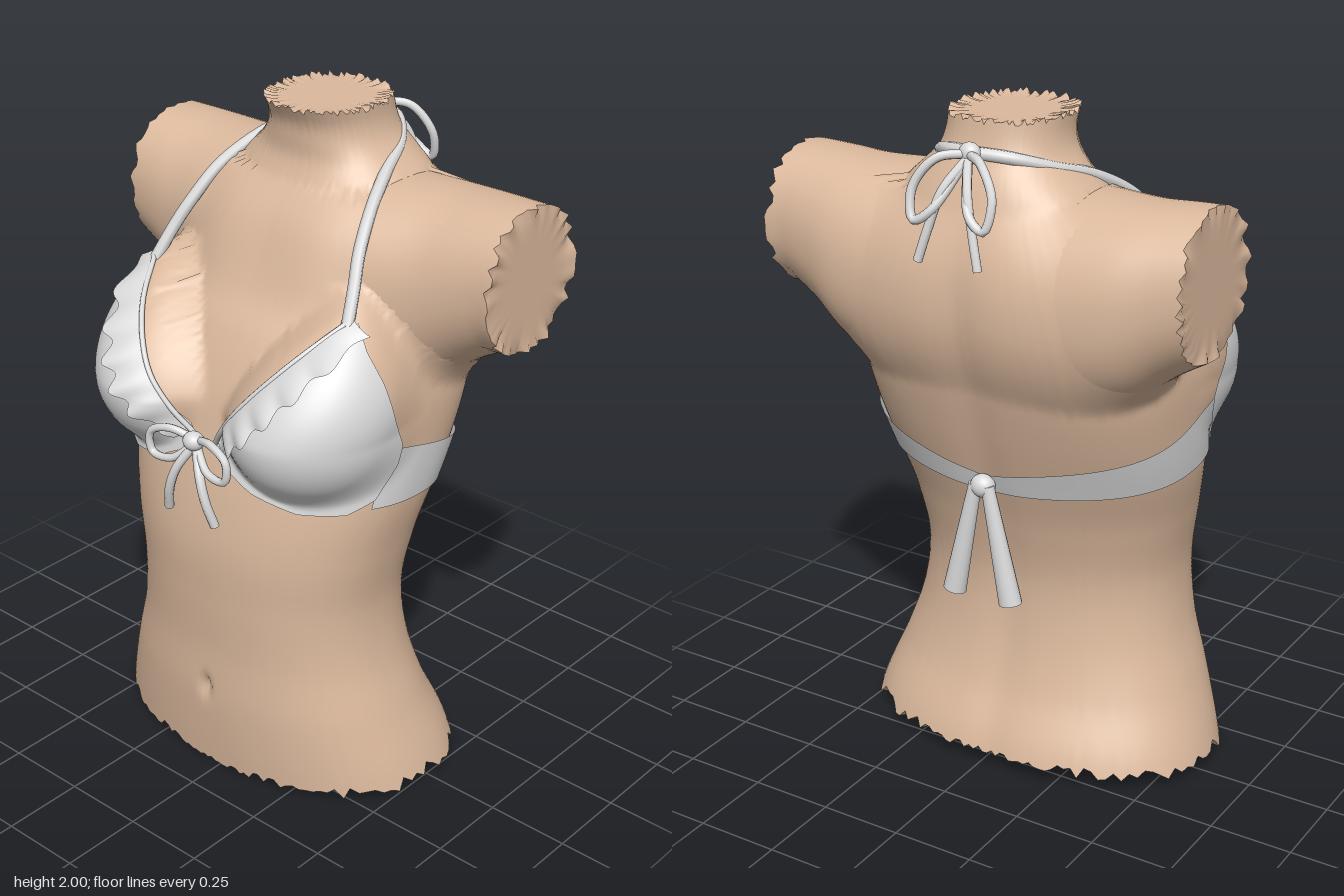
import * as THREE from 'three';

const skin = new THREE.MeshStandardMaterial({ color: 0xdbb99d, side: THREE.DoubleSide });
skin.name = 'skin';
const cloth = new THREE.MeshStandardMaterial({ color: 0xdadada, side: THREE.DoubleSide });
cloth.name = 'cloth';

const { smoothstep } = THREE.MathUtils;
// Deterministic noise for the broken edges
const noise = (i) => { const s = Math.sin(i * 91.7 + 3.1) * 4375.5; return s - Math.floor(s); };
// Larger of two values with a rounded transition of width k
const smoothMax = (a, b, k) => Math.max(a, b) + Math.max(0, k - Math.abs(a - b)) ** 2 / (4 * k);

// Smooth interpolation of table rows [key, a, b, ...]
function table(rows) {
  const size = rows[0].length - 1;
  const spline = new THREE.CubicInterpolant(rows.map((r) => r[0]), rows.flatMap((r) => r.slice(1)), size, new Float32Array(size));
  const lo = rows[0][0], hi = rows[rows.length - 1][0];
  return (t) => Array.from(spline.evaluate(Math.min(hi, Math.max(lo, t))));
}

// Surface through fn(i, j) -> [x, y, z]; optionally closed around i
function grid(nu, nv, fn, closed = false) {
  const cols = closed ? nu : nu + 1, pos = [], index = [];
  for (let j = 0; j <= nv; j++) for (let i = 0; i < cols; i++) pos.push(...fn(i, j));
  for (let j = 0; j < nv; j++) for (let i = 0; i < nu; i++) {
    const a = j * cols + i, b = j * cols + (i + 1) % cols, c = b + cols, d = a + cols;
    index.push(a, b, c, a, c, d);
  }
  const g = new THREE.BufferGeometry();
  g.setAttribute('position', new THREE.Float32BufferAttribute(pos, 3));
  g.setIndex(index);
  g.computeVertexNormals();
  return g;
}

// Shoulders and upper arms: distance from middle, centre y, radius y, centre z, radius z
const armProfile = table([
  [0, 1.5, 0.3, -0.165, 0.285], [0.15, 1.5, 0.305, -0.165, 0.3], [0.3, 1.505, 0.3, -0.18, 0.275],
  [0.45, 1.535, 0.27, -0.195, 0.24], [0.55, 1.575, 0.235, -0.19, 0.215], [0.645, 1.605, 0.208, -0.185, 0.197],
]);
function shoulder(i, t) {
  const w = (i / 64) * Math.PI * 2, end = t > 0 ? 0.67 + 0.03 * noise(i) : 0.62 + 0.025 * noise(i + 100);
  const x = t * end, [cy, ry, cz, rz] = armProfile(Math.abs(x));
  const round = (v) => Math.sign(v) * Math.abs(v) ** 0.92;
  return [x, cy + ry * round(Math.cos(w)), cz + rz * round(Math.sin(w))];
}
// Distance along a level ray to the shoulder surface
function shoulderHit(s, c, y, zc) {
  if (y < 1.2 || y > 1.775) return 0;
  let lo = 0, hi = Math.min(0.7, 0.56 / Math.max(0.01, Math.abs(s)));
  for (let i = 0; i < 18; i++) {
    const m = (lo + hi) / 2, [cy, ry, cz, rz] = armProfile(Math.abs(s * m));
    if (Math.abs((y - cy) / ry) ** 2.17 + Math.abs((zc + c * m - cz) / rz) ** 2.17 < 1) lo = m; else hi = m;
  }
  return Math.max(0, lo - 0.007);
}

// Torso: height, half width, front z, back z
const profile = table([
  [0, 0.575, 0.38, -0.35], [0.1, 0.545, 0.39, -0.322], [0.25, 0.49, 0.4, -0.258], [0.42, 0.435, 0.4, -0.22],
  [0.6, 0.415, 0.41, -0.215], [0.78, 0.44, 0.415, -0.255], [0.94, 0.47, 0.395, -0.31], [1.1, 0.483, 0.36, -0.365],
  [1.25, 0.483, 0.32, -0.41], [1.4, 0.455, 0.25, -0.445], [1.5, 0.42, 0.18, -0.455], [1.6, 0.37, 0.12, -0.45],
  [1.7, 0.33, 0.07, -0.43], [1.79, 0.29, 0.02, -0.4], [1.84, 0.235, 0, -0.38], [1.89, 0.19, 0, -0.355],
  [1.94, 0.172, 0.005, -0.34], [2, 0.17, 0.035, -0.33],
]);

// Point on the body at angle u (0 = front, towards +x) and height y, pushed out by off
function body(u, y, off = 0) {
  const [hw, f, b] = profile(y);
  const s = Math.sin(u), c = Math.cos(u), zc = (f + b) / 2, d = (f - b) / 2;
  // Broader, flatter upper back
  const n = 2.25 + (c < 0 ? 0.6 * smoothstep(y, 0.8, 1.3) * (1 - smoothstep(y, 1.6, 1.8)) : 0);
  let r = (Math.abs(s / hw) ** n + Math.abs(c / d) ** n) ** (-1 / n);
  r = smoothMax(r, shoulderHit(s, c, y, zc), 0.1);
  // Spine groove and navel
  if (c < 0) r -= 0.01 * Math.exp(-((s * r / 0.07) ** 2)) * (1 - 0.7 * smoothstep(y, 1.5, 1.8));
  else r -= 0.022 * Math.exp(-((s * r / 0.018) ** 2) - ((y - 0.285) / 0.035) ** 2);
  // Bust: far hit of the ray with an ellipse, blended into the torso
  const t = (y - 1.2) / (y > 1.2 ? 0.36 : 0.235);
  if (Math.abs(t) < 1 && c > -0.3) {
    const k = y > 1.2 ? Math.cos(t * Math.PI / 2) ** 0.8 : Math.sqrt(1 - t * t);
    const a = 0.237 * k, e = 0.275 * k, rise = 0.22 * Math.max(0, y - 1.2);
    const cx = 0.25 + rise, cz = 0.18 - rise - zc, sx = Math.abs(s);
    const A = (sx / a) ** 2 + (c / e) ** 2, B = sx * cx / a ** 2 + c * cz / e ** 2;
    const D = B * B - A * ((cx / a) ** 2 + (cz / e) ** 2 - 1);
    r = smoothMax(r, (B + Math.sign(D) * Math.sqrt(Math.abs(D))) / A, 0.06);
  }
  r += off;
  return [s * r, y, zc + c * r];
}

// Angle on the front of the body that reaches a given x
function angleAt(x, y) {
  let lo = 0, hi = 1.45;
  for (let i = 0; i < 20; i++) {
    const m = (lo + hi) / 2;
    if (body(m, y)[0] < x) lo = m; else hi = m;
  }
  return lo;
}

// Cup outline: height, inner x, outer x, outer z
const cupRows = [
  [0.965, 0.3, 0.42, 0.25], [1.0, 0.17, 0.47, 0.18], [1.05, 0.08, 0.49, 0.15], [1.1, 0.03, 0.5, 0.12],
  [1.16, 0.077, 0.5, 0.11], [1.25, 0.148, 0.5, 0.15], [1.36, 0.234, 0.49, 0.18], [1.45, 0.305, 0.43, 0.19],
  [1.51, 0.35, 0.385, 0.17],
];
function cupRow(y) {
  let i = 0;
  while (i < cupRows.length - 2 && cupRows[i + 1][0] < y) i++;
  const p = cupRows[i], q = cupRows[i + 1], t = (y - p[0]) / (q[0] - p[0]);
  return p.map((v, k) => v + (q[k] - v) * t);
}
const innerX = (y) => 0.03 + (y - 1.1) * 0.78;

export function createModel() {
  const model = new THREE.Group(), figure = new THREE.Group();
  figure.name = 'torsoFigure';
  figure.position.x = -0.035;
  model.add(figure);
  const add = (name, geometry, material = cloth) => {
    const mesh = new THREE.Mesh(geometry, material);
    mesh.name = name;
    figure.add(mesh);
    return mesh;
  };
  const tube = (name, pts, r, s = 1) => add(name, new THREE.TubeGeometry(
    new THREE.CatmullRomCurve3(pts.map((p) => new THREE.Vector3(p[0] * s, p[1], p[2]))), 40, r, 8));
  const ball = (name, x, y, z, sx, sy, sz) => {
    const m = add(name, new THREE.SphereGeometry(1, 20, 14));
    m.position.set(x, y, z);
    m.scale.set(sx, sy, sz);
  };

  // Torso and neck with ragged ends
  const N = 144;
  const torso = (i, t) => {
    const u = (i / N) * Math.PI * 2;
    const low = 0.045 * noise(i) * (0.3 + 0.7 * Math.abs(Math.sin(u))) + 0.025 * (1 - Math.cos(u));
    const high = 2 - 0.022 * noise(i + 300);
    return body(u, low + (high - low) * t);
  };
  add('torso', grid(N, 130, (i, j) => torso(i, j / 130), true), skin);
  // Flat cut that meets the ragged edge only at its rim; axis is the cut's normal
  const cut = (name, fn, n, c, axis) => add(name, grid(n, 8, (i, j) => fn(i).map(
    (v, k) => c[k] + (v - c[k]) * (j / 8) ** (k === axis ? 8 : 1)), true), skin);
  cut('waistCut', (i) => torso(i, 0), N, [0, 0.05, 0.02], 1);
  cut('neckCut', (i) => torso(i, 1), N, [0, 1.985, -0.15], 1);

  // Shoulders with arm stumps
  add('shoulders', grid(64, 60, (i, j) => shoulder(i, j / 30 - 1), true), skin);
  cut('leftArmCut', (i) => shoulder(i, 1), 64, [0.685, 1.605, -0.185], 0);
  cut('rightArmCut', (i) => shoulder(i, -1), 64, [-0.632, 1.605, -0.185], 0);

  for (const s of [1, -1]) {
    const side = (p) => [p[0] * s, p[1], p[2]];

    // Cup following the bust
    add('cup', grid(32, 48, (i, j) => {
      const y = 0.965 + 0.545 * (j / 48), [, xi, xo, zo] = cupRow(y), [, f, b] = profile(y);
      const from = angleAt(xi, y), to = Math.max(from + 0.04, Math.atan2(xo, zo - (f + b) / 2));
      return side(body(from + (to - from) * (i / 32), y, 0.015));
    }));

    // Wavy ruffle beside the neckline
    add('ruffle', grid(90, 6, (i, j) => {
      const t = i / 90, w = j / 6, width = 0.04 + 0.045 * Math.sin(Math.PI * Math.min(1, t * 0.8 + 0.1));
      const wave = Math.sin(t * Math.PI * 12);
      const y0 = 1.12 + 0.4 * t, y = y0 - w * width * (0.6 + 0.06 * wave);
      const x = innerX(y0) + w * width * (0.8 + 0.06 * wave);
      return side(body(angleAt(x, y), y, 0.02 + w * (0.02 + 0.012 * wave)));
    }));
    const edge = [0, 0.2, 0.4, 0.6, 0.8, 1].map((t) => {
      const y = 1.11 + 0.4 * t;
      return body(angleAt(innerX(y), y), y, 0.016);
    });
    tube('necklineEdge', edge, 0.008, s);

    // Side band sweeping round to the back
    add('backBand', grid(48, 6, (i, j) => {
      const t = i / 48, top = 1.16 - 0.2 * t ** 0.85, bottom = 0.97 - 0.065 * t;
      return side(body(1.25 + (Math.PI - 1.25) * t, bottom + (top - bottom) * (j / 6), 0.01));
    }));

    // Neck strap
    tube('neckStrap', [[0.362, 1.5, 0.19], [0.338, 1.59, 0.135], [0.312, 1.665, 0.085], [0.28, 1.755, 0],
      [0.235, 1.825, -0.12], [0.185, 1.865, -0.24], [0.1, 1.9, -0.33], [0, 1.91, -0.365]], 0.018, s);

    // Front bow
    tube('frontBowLoop', [[0, 1.12, 0.41], [0.08, 1.14, 0.435], [0.145, 1.11, 0.445], [0.14, 1.05, 0.445],
      [0.07, 1.05, 0.44], [0, 1.11, 0.41]], 0.012, s);
    tube('frontBowTail', [[0, 1.11, 0.41], [0.045, 1.03, 0.445], [0.07, 0.96, 0.45], [0.09, 0.885, 0.435]], 0.014, s);

    // Neck bow
    tube('neckBowLoop', [[0, 1.91, -0.38], [0.07, 1.9, -0.43], [0.125, 1.82, -0.465], [0.11, 1.74, -0.485],
      [0.06, 1.77, -0.475], [0, 1.9, -0.385]], 0.013, s);
    tube('neckBowTail', [[0, 1.9, -0.385], [0.04, 1.82, -0.45], [0.07, 1.72, -0.475], [0.095, 1.63, -0.49]], 0.013, s);

    // Back ribbon tail
    const tail = add('backRibbonTail', new THREE.CylinderGeometry(0.02, 0.036, 0.36, 14));
    tail.position.set(s * 0.058, 0.765, -0.338);
    tail.rotation.z = s * 0.21;
    tail.scale.z = 0.85;
  }

  // Knots
  ball('frontKnot', 0, 1.12, 0.42, 0.032, 0.028, 0.03);
  ball('neckKnot', 0, 1.91, -0.375, 0.032, 0.03, 0.026);
  ball('backKnot', 0, 0.935, -0.33, 0.038, 0.035, 0.032);
  return model;
}
